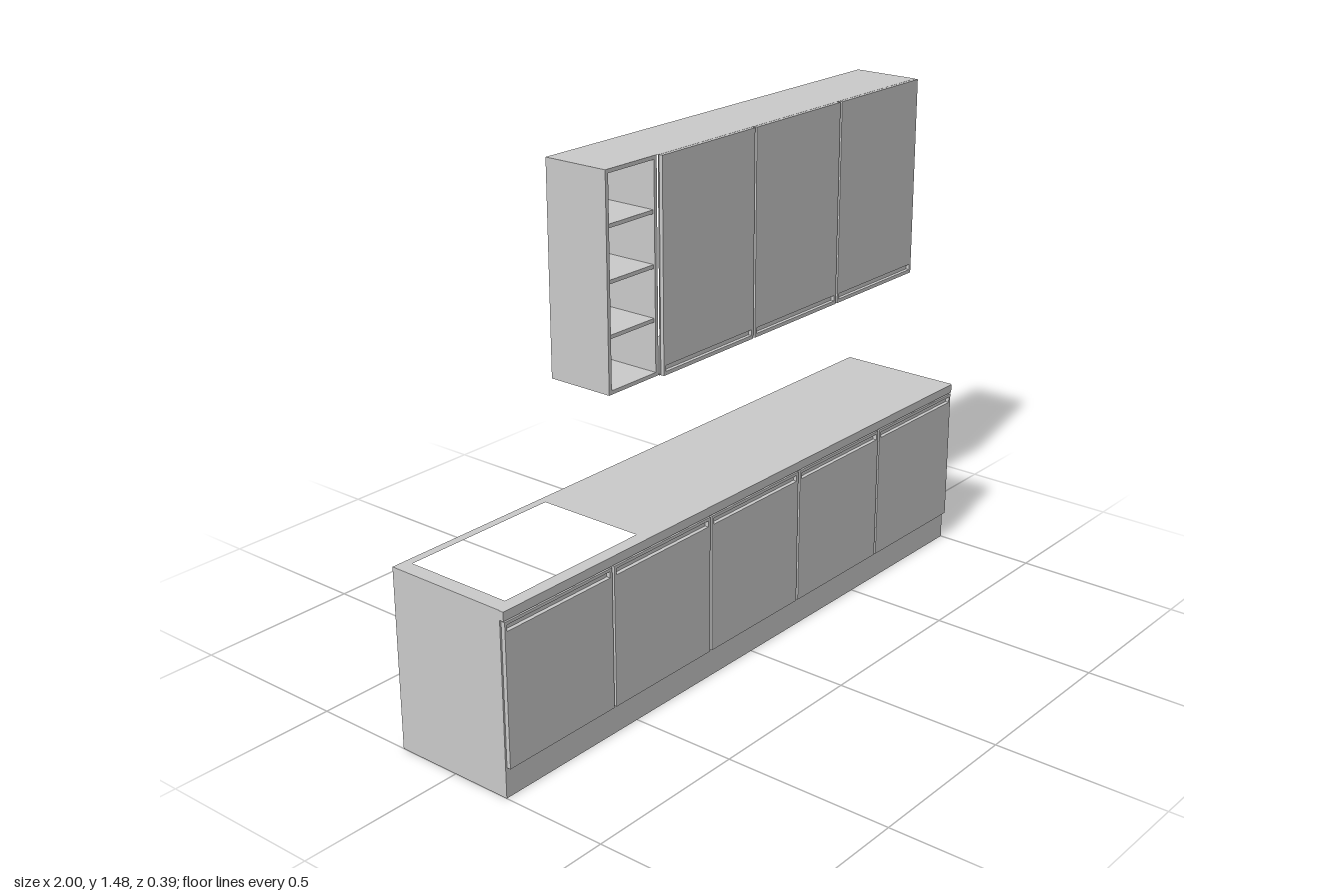
import * as THREE from 'three';

const material = new THREE.MeshStandardMaterial({ color: 0xcccccc, side: THREE.DoubleSide });

function add(parent, name, geometry) {
  const mesh = new THREE.Mesh(geometry, material);
  mesh.name = name;
  parent.add(mesh);
  return mesh;
}

// Solid board given by its limits on each axis
function board(parent, name, [x0, x1], [y0, y1], [z0, z1]) {
  const mesh = add(parent, name, new THREE.BoxGeometry(x1 - x0, y1 - y0, z1 - z0));
  mesh.position.set((x0 + x1) / 2, (y0 + y1) / 2, (z0 + z1) / 2);
  return mesh;
}

// Rectangle shape, optionally with a rectangular hole
function rect(x0, x1, y0, y1, hole) {
  const points = (a, b, c, d) => [[a, c], [b, c], [b, d], [a, d]].map(p => new THREE.Vector2(...p));
  const shape = new THREE.Shape(points(x0, x1, y0, y1));
  if (hole) shape.holes.push(new THREE.Path(points(...hole).reverse()));
  return shape;
}

// Thin horizontal sheet, facing up
function sheet(parent, name, y, [x0, x1], [z0, z1], hole) {
  const h = hole && [hole[0], hole[1], -hole[3], -hole[2]];
  const geometry = new THREE.ShapeGeometry(rect(x0, x1, -z1, -z0, h));
  geometry.rotateX(-Math.PI / 2);
  add(parent, name, geometry).position.y = y;
}

// Thin upright sheet, facing forward
function frontSheet(parent, name, z, [x0, x1], [y0, y1]) {
  add(parent, name, new THREE.ShapeGeometry(rect(x0, x1, y0, y1))).position.z = z;
}

// Door with a long finger slot cut through it
function door(parent, x0, [y0, y1], [s0, s1], z, depth) {
  const gap = 0.004;
  const shape = rect(x0 + gap, x0 + 0.4 - gap, y0, y1, [x0 + 0.012, x0 + 0.388, s0, s1]);
  const geometry = new THREE.ExtrudeGeometry(shape, { depth, bevelEnabled: false });
  add(parent, 'door', geometry).position.z = z;
}

function createBaseUnit() {
  const unit = new THREE.Group();
  unit.name = 'baseUnit';
  const back = -0.195, front = 0.183, top = 0.53;

  // Carcass, open at the back, bottom and left end
  frontSheet(unit, 'carcassFront', front, [-1, 1], [0, top - 0.002]);
  const side = add(unit, 'endPanel', new THREE.PlaneGeometry(front - back, top));
  side.rotation.y = -Math.PI / 2;
  side.position.set(-1, top / 2, (front + back) / 2);

  // Worktop with sink cutout and a thick front lip
  sheet(unit, 'worktop', top, [-1, 1], [back, 0.196], [-0.955, -0.465, -0.17, 0.158]);
  board(unit, 'worktopLip', [-1, 1], [0.503, top - 0.001], [0.16, 0.196]);

  for (let i = 0; i < 5; i++) {
    door(unit, -1 + i * 0.4, [0.088, 0.499], [0.472, 0.49], front + 0.001, 0.012);
  }
  return unit;
}

function createWallUnit() {
  const unit = new THREE.Group();
  unit.name = 'wallUnit';
  const bottom = 0.865, top = 1.475, back = -0.194, front = 0.016;

  // Cupboard carcass, open at the back and left end
  frontSheet(unit, 'carcassFront', front, [-0.2, 1], [bottom, top]);
  for (const y of [bottom, top]) sheet(unit, 'carcassPanel', y, [-0.2, 1], [back, front]);

  for (let i = 0; i < 3; i++) {
    door(unit, -0.2 + i * 0.4, [bottom, top], [0.876, 0.893], front + 0.001, 0.011);
  }
  return unit;
}

function createShelfUnit() {
  const unit = new THREE.Group();
  unit.name = 'openShelfUnit';
  const bottom = 0.865, top = 1.475, t = 0.011;
  const depth = [-0.194, 0.012], inside = [-0.4 + t, -0.2 - t];

  // Box frame
  board(unit, 'shelfSide', [-0.4, inside[0]], [bottom, top], depth);
  board(unit, 'shelfSide', [inside[1], -0.2], [bottom, top], depth);
  board(unit, 'shelfTop', inside, [top - t, top], depth);
  board(unit, 'shelfBottom', inside, [bottom, bottom + t], depth);
  board(unit, 'shelfBack', inside, [bottom + t, top - t], [-0.19, -0.183]);

  // Three shelves
  for (let i = 1; i < 4; i++) {
    const y = bottom + i * 0.15 + 0.003;
    board(unit, 'shelf', inside, [y, y + t], [-0.183, 0.008]);
  }
  return unit;
}

export function createModel() {
  const model = new THREE.Group();
  model.name = 'kitchenCabinets';
  model.add(createBaseUnit(), createWallUnit(), createShelfUnit());
  return model;
}
